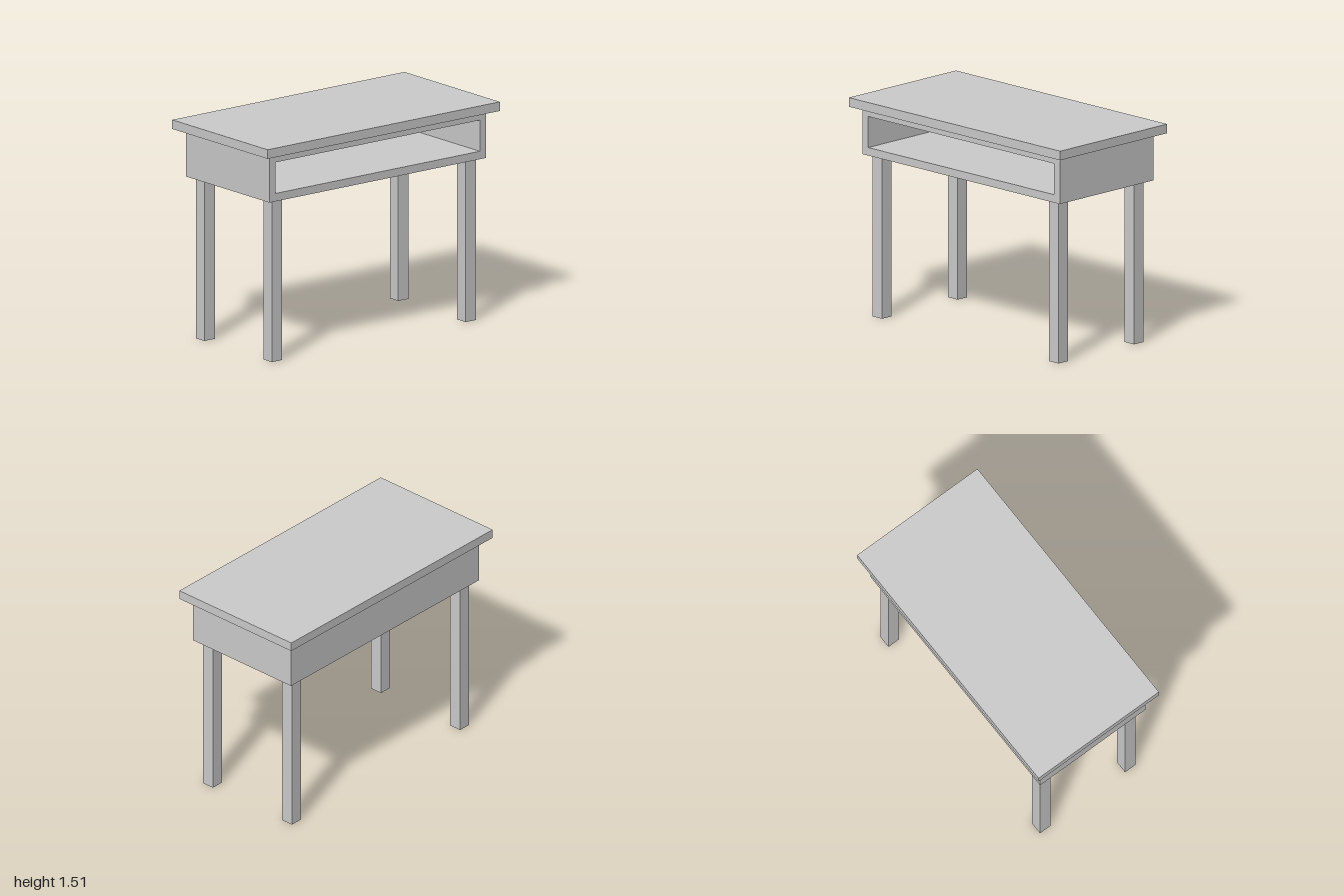
import * as THREE from 'three';

const material = new THREE.MeshStandardMaterial({ color: 0xcccccc, flatShading: true });

export function createModel() {
  const desk = new THREE.Group();
  desk.name = 'desk';

  const add = (name, geometry, x, y, z) => {
    const mesh = new THREE.Mesh(geometry, material);
    mesh.name = name;
    mesh.position.set(x, y, z);
    desk.add(mesh);
  };

  const legTop = 1.12, bodyTop = 1.447, top = 1.51;
  const bodyHalfWidth = 0.933, bodyHalfDepth = 0.443, wall = 0.053;

  // Table top, overhanging the body all round
  add('tableTop', new THREE.BoxGeometry(2, top - bodyTop, 1.013), 0, (top + bodyTop) / 2, 0);

  // Storage body: a rectangular sleeve, open at the front
  const rect = (shape, x, y0, y1) =>
    shape.moveTo(-x, y0).lineTo(x, y0).lineTo(x, y1).lineTo(-x, y1).closePath();
  const outline = rect(new THREE.Shape(), bodyHalfWidth, legTop, bodyTop);
  outline.holes.push(rect(new THREE.Path(), bodyHalfWidth - wall, 1.175, 1.39));
  const sleeveDepth = 2 * bodyHalfDepth - wall;
  add('storageBody', new THREE.ExtrudeGeometry(outline, { depth: sleeveDepth, bevelEnabled: false }),
    0, 0, bodyHalfDepth - sleeveDepth);

  // Panel closing the back of the body
  add('backPanel', new THREE.BoxGeometry(2 * bodyHalfWidth, bodyTop - legTop, wall),
    0, (bodyTop + legTop) / 2, -bodyHalfDepth + wall / 2);

  // Four square legs
  const legGeometry = new THREE.BoxGeometry(0.09, legTop, 0.09);
  for (const [side, x] of [['Left', 0.835], ['Right', -0.835]]) {
    for (const [end, z] of [['front', 0.358], ['back', -0.358]]) {
      add(`${end}${side}Leg`, legGeometry, x, legTop / 2, z);
    }
  }

  return desk;
}
